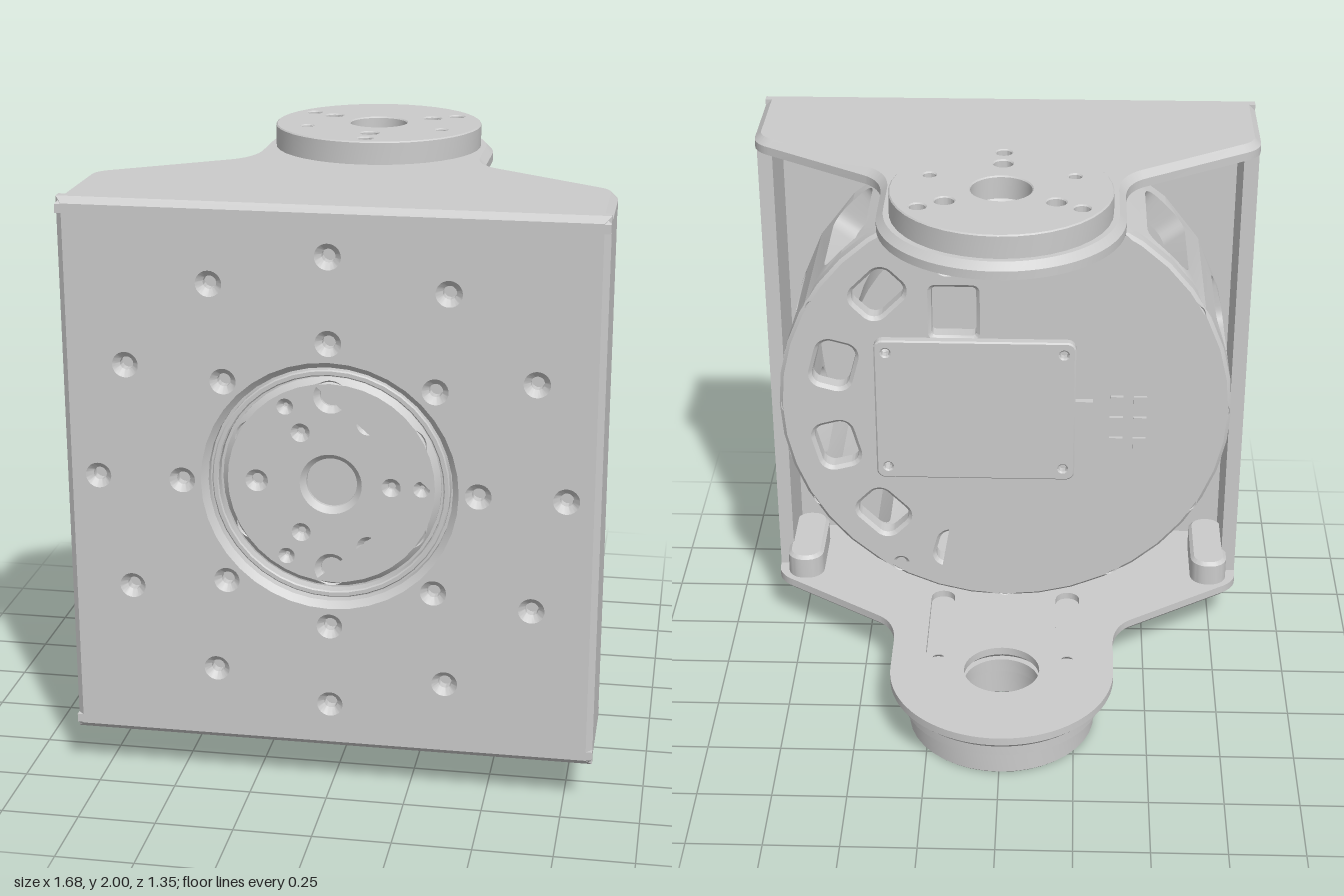
import * as THREE from 'three';
import { toCreasedNormals } from 'three/addons/utils/BufferGeometryUtils.js';

const mat = new THREE.MeshStandardMaterial({ color: 0xcccccc });
const CY = 1.0375; // height of the motor axis
const CZ = -0.29; // depth of the hinge axis
const rad = THREE.MathUtils.degToRad;

function add(group, name, geo, x = 0, y = 0, z = 0) {
  const m = new THREE.Mesh(toCreasedNormals(geo, 0.5), mat);
  m.name = name;
  m.position.set(x, y, z);
  group.add(m);
  return m;
}

// Plate from z = 0 to z = t, with its +z edges (and hole rims) chamfered by c
function plate(shape, t, c = 0) {
  const geo = new THREE.ExtrudeGeometry(shape, {
    depth: t - c, bevelEnabled: c > 0, bevelThickness: c, bevelSize: c,
    bevelOffset: -c, bevelSegments: 1, curveSegments: 20,
  });
  const p = geo.attributes.position;
  for (let i = 0; i < p.count; i++) if (p.getZ(i) < 0) p.setZ(i, 0);
  geo.computeVertexNormals();
  return geo;
}

const circle = (x, y, r) => new THREE.Path().absarc(x, y, r, 0, Math.PI * 2);
const polar = (radius, deg, r) => circle(radius * Math.cos(rad(deg)), radius * Math.sin(rad(deg)), r);
const ring = (n, radius, r, start = 0) =>
  Array.from({ length: n }, (_, i) => polar(radius, start + i * 360 / n, r));

function disc(r, holes = []) {
  const s = new THREE.Shape().absarc(0, 0, r, 0, Math.PI * 2);
  s.holes.push(...holes);
  return s;
}

// Rounded rectangle centred on (cx, cy), turned by angle a
function roundRect(cx, cy, w, h, r, a = 0) {
  const x = w / 2 - r, y = h / 2 - r, s = new THREE.Path();
  [[x, y], [-x, y], [-x, -y], [x, -y]].forEach(([px, py], i) =>
    s.absarc(px, py, r, i * Math.PI / 2, (i + 1) * Math.PI / 2));
  const pts = s.getPoints(5).map(p => p.rotateAround(new THREE.Vector2(), a).add(new THREE.Vector2(cx, cy)));
  return new THREE.Shape(pts);
}

// Outline of the hinge arms, drawn in x and z
function armOutline(holes) {
  const s = new THREE.Shape();
  s.moveTo(-0.84, 0.675).lineTo(-0.84, 0.34);
  s.quadraticCurveTo(-0.84, 0.28, -0.78, 0.245).lineTo(-0.45, 0.025);
  s.quadraticCurveTo(-0.385, -0.02, -0.385, -0.13).lineTo(-0.385, CZ);
  s.absarc(0, CZ, 0.385, Math.PI, Math.PI * 2);
  s.lineTo(0.385, -0.13).quadraticCurveTo(0.385, -0.02, 0.45, 0.025);
  s.lineTo(0.78, 0.245).quadraticCurveTo(0.84, 0.28, 0.84, 0.34);
  s.lineTo(0.84, 0.675);
  s.holes.push(...holes);
  return s;
}

// Hinge arm below the motor; the upper one is its mirror image
function arm(isTop) {
  const g = new THREE.Group();
  g.name = isTop ? 'upperArm' : 'lowerArm';
  const flat = geo => geo.rotateX(Math.PI / 2); // shape y becomes z, depth goes down
  const bore = isTop ? 0.095 : 0.13;
  const pins = [-1, 1].map(s => circle(s * 0.225, -0.19, 0.02));
  const screws = isTop ? [] : [-0.74, 0.74].flatMap(x => [0.32, 0.5].map(z => circle(x, z, 0.025)));
  const slots = [-1, 1].map(s => roundRect(s * 0.225, -0.02, 0.085, 0.42, 0.042));
  add(g, 'armOuterSkin', flat(plate(armOutline([circle(0, CZ, bore), ...pins, ...screws]), 0.025, 0.022)), 0, 0.175);
  add(g, 'armInnerSkin', flat(plate(armOutline([circle(0, CZ, bore), ...slots]), 0.025)), 0, 0.2);

  const discPins = [-1, 1].map(s => circle(s * 0.225, 0.1, 0.02));
  if (isTop) {
    const holes = [circle(0, 0, bore), ...discPins, ...ring(3, 0.195, 0.03, 90), ...ring(3, 0.285, 0.025, 90)];
    add(g, 'hingeDisc', flat(plate(disc(0.345, holes), 0.075, 0.004)), 0, 0.15, CZ);
  } else {
    const holes = [circle(0, 0, bore), ...discPins];
    add(g, 'hingeDisc', flat(plate(disc(0.345, holes), 0.05)), 0, 0.15, CZ);
    add(g, 'hingeBearing', flat(plate(disc(0.32, [...holes, ...ring(10, 0.287, 0.012, 9)]), 0.095, 0.006)), 0, 0.1, CZ);
    // Screw bosses in the corners
    for (const x of [-0.74, 0.74])
      add(g, 'screwBoss', plate(roundRect(x, -0.42, 0.13, 0.32, 0.06), 0.09, 0.012).rotateX(-Math.PI / 2), 0, 0.2);
  }
  if (isTop) {
    g.scale.y = -1;
    g.position.y = 2 * CY;
  }
  return g;
}

function bracket() {
  const g = new THREE.Group();
  g.name = 'bracket';
  const w = 0.84, h = 0.8875;
  const s = new THREE.Shape([[-w, -h], [w, -h], [w, h], [-w, h]].map(p => new THREE.Vector2(...p)));
  s.holes.push(circle(0, 0, 0.385), ...ring(12, 0.735, 0.021), ...ring(8, 0.465, 0.021));
  add(g, 'frontPlate', plate(s, 0.05, 0.02), 0, CY, 0.625);
  for (const side of [-1, 1])
    add(g, 'sideWall', new THREE.BoxGeometry(0.05, 1.725, 0.295), side * 0.815, CY, 0.5075);
  g.add(arm(false), arm(true));
  return g;
}

// Half of one motor shell cell, drawn in angle and z, then bent round the axis
function shellCell(mirror) {
  const R0 = 0.68, R1 = 0.77, k = 0.77;
  const a = rad(15) * k, b = rad(7.5) * k, r = 0.06, z0 = 0.075, z1 = 0.625, w0 = 0.15, w1 = 0.55;
  const s = new THREE.Shape();
  s.moveTo(0, z0).lineTo(a, z0).lineTo(a, w0).lineTo(b + r, w0);
  s.quadraticCurveTo(b, w0, b, w0 + r).lineTo(b, w1 - r);
  s.quadraticCurveTo(b, w1, b + r, w1).lineTo(a, w1).lineTo(a, z1).lineTo(0, z1);
  const geo = new THREE.ExtrudeGeometry(s, { depth: R1 - R0, bevelEnabled: false, curveSegments: 6 });
  const p = geo.attributes.position;
  for (let i = 0; i < p.count; i++) {
    const t = p.getX(i) / k, rr = R0 + p.getZ(i), z = p.getY(i);
    // angle runs clockwise so that the faces stay outward
    p.setXYZ(i, rr * Math.sin(t), rr * Math.cos(t), z);
  }
  // swap corners: bending (angle, z, radius) to (x, z, y) flips the handedness
  const flip = !mirror;
  if (mirror) geo.scale(-1, 1, 1);
  const keep = new THREE.Vector3(), other = new THREE.Vector3();
  if (flip) for (let i = 0; i < p.count; i += 3) {
    keep.fromBufferAttribute(p, i + 1);
    other.fromBufferAttribute(p, i + 2);
    p.setXYZ(i + 1, other.x, other.y, other.z);
    p.setXYZ(i + 2, keep.x, keep.y, keep.z);
  }
  geo.computeVertexNormals();
  return geo;
}

function motor() {
  const g = new THREE.Group();
  g.name = 'motor';
  g.position.y = CY;
  // Shell with twelve side windows
  const halves = [shellCell(false), shellCell(true)];
  for (let i = 0; i < 12; i++)
    for (const half of halves) add(g, 'shellCell', half).rotation.z = i * Math.PI / 6;

  // Back cover, drawn as seen from behind
  const windows = Array.from({ length: 12 }, (_, i) => {
    const a = rad(15 + i * 30);
    return roundRect(0.6 * Math.cos(a), 0.6 * Math.sin(a), 0.13, 0.165, 0.04, a);
  });
  const vent = roundRect(-0.17, 0.36, 0.15, 0.18, 0.015);
  const back = disc(0.77, [...windows, ...ring(12, 0.735, 0.018), ...ring(6, 0.47, 0.014, 30), vent]);
  add(g, 'backCover', plate(back, 0.06, 0.012).rotateY(Math.PI), 0, 0, 0.123);

  // Controller board, connector and small chips
  const board = roundRect(-0.1, 0, 0.68, 0.53, 0.03);
  board.holes.push(...[[-0.4, 0.22], [-0.4, -0.22], [0.2, 0.22], [0.2, -0.22]].map(([x, y]) => circle(x, y, 0.014)));
  add(g, 'controllerBoard', plate(board, 0.03, 0.005).rotateY(Math.PI), 0, 0, 0.064);
  add(g, 'connector', new THREE.BoxGeometry(0.06, 0.2, 0.03), -0.27, -0.06, 0.055);
  for (const x of [-0.38, -0.46])
    for (const y of [0.03, -0.05, -0.13])
      add(g, 'chip', new THREE.BoxGeometry(0.045, 0.05, 0.014), x, y, 0.058);

  // Gear housing inside the shell
  add(g, 'gearHousing', new THREE.CylinderGeometry(0.56, 0.56, 0.17, 48).rotateX(Math.PI / 2), 0, 0, 0.475);
  add(g, 'housingFlange', new THREE.CylinderGeometry(0.7, 0.7, 0.05, 48).rotateX(Math.PI / 2), 0, 0, 0.585);

  // Output face with its pattern of holes, and the thin ring around it
  const face = disc(0.345, [
    circle(0, 0, 0.08), ...ring(6, 0.285, 0.035, 30), ...ring(3, 0.235, 0.018, 60),
    ...ring(3, 0.19, 0.012), ...ring(3, 0.285, 0.008),
  ]);
  add(g, 'outputFace', plate(face, 0.06, 0.018), 0, 0, 0.58);
  add(g, 'outputRing', plate(disc(0.375, [circle(0, 0, 0.355)]), 0.06, 0.004), 0, 0, 0.59);
  return g;
}

export function createModel() {
  const model = new THREE.Group();
  model.name = 'jointBracketWithMotor';
  model.add(bracket(), motor());
  return model;
}
